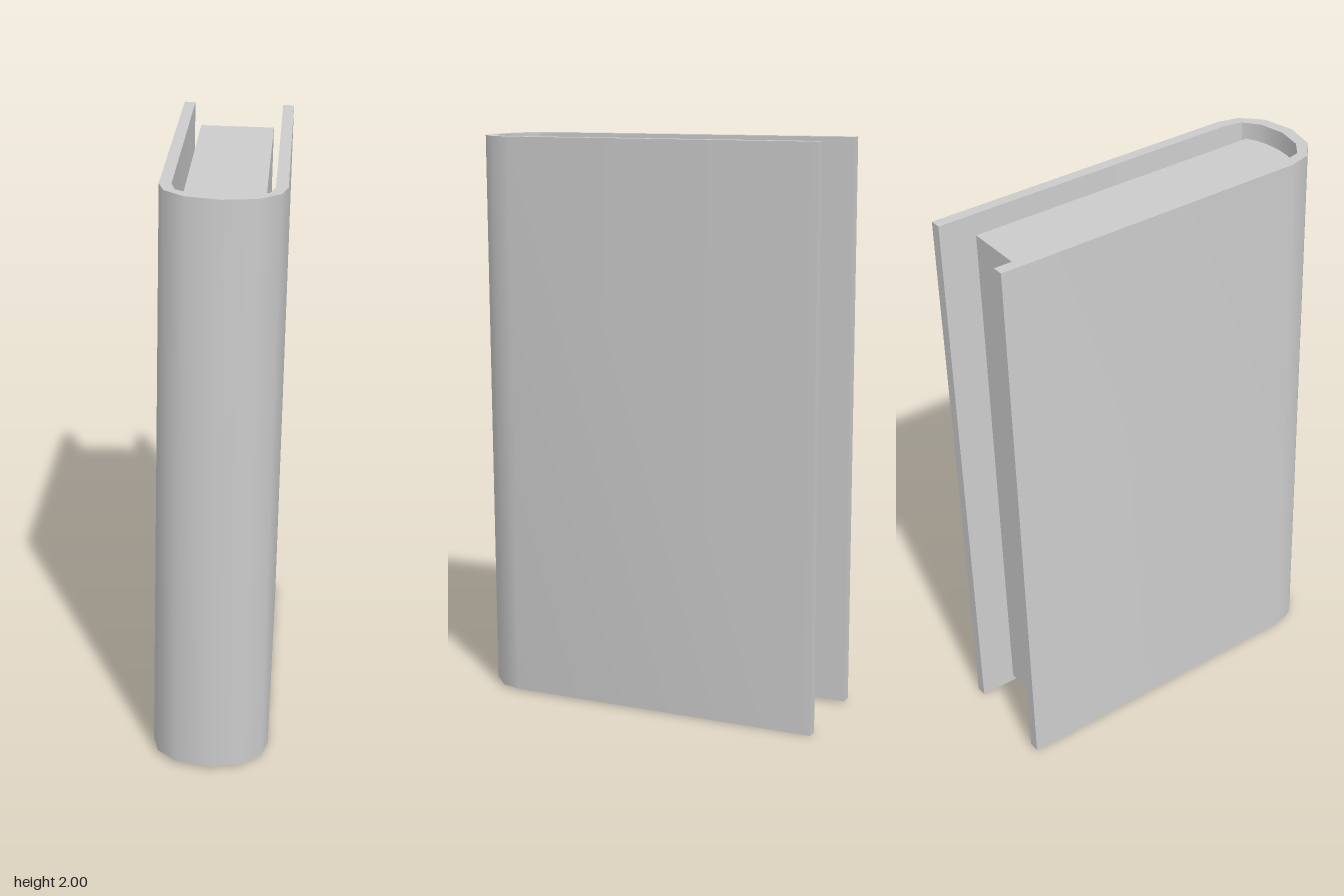
import * as THREE from 'three';
import { toCreasedNormals } from 'three/addons/utils/BufferGeometryUtils.js';

const HEIGHT = 1.983;      // cover height
const RECESS = 0.057;      // pages sit inside the cover at both ends

// Mirror a right-hand run of [x, z] points that ends on the centre line
const mirror = (half) => [...half, ...half.slice(0, -1).reverse().map(([x, z]) => [-x, z])];

// Upright prism from an [x, z] outline, centred on y = 0
function prism(points, height) {
  const shape = new THREE.Shape(points.map(([x, z]) => new THREE.Vector2(x, -z)));
  const geometry = new THREE.ExtrudeGeometry(shape, { depth: height, bevelEnabled: false });
  geometry.rotateX(-Math.PI / 2).translate(0, -height / 2, 0);
  return toCreasedNormals(geometry, 0.6);
}

export function createModel() {
  const material = new THREE.MeshStandardMaterial({ color: 0xcccccc });
  const book = new THREE.Group();
  book.name = 'book';

  const add = (name, geometry) => {
    const mesh = new THREE.Mesh(geometry, material);
    mesh.name = name;
    book.add(mesh);
  };

  // Cover: two boards joined by a rounded spine, one U-shaped band
  const outer = mirror([[0.198, -0.641], [0.198, 0.478], [0.178, 0.553], [0.112, 0.614], [0, 0.638]]);
  const inner = mirror([[0.159, -0.641], [0.159, 0.476], [0.144, 0.54], [0.09, 0.58], [0, 0.597]]);
  add('cover', prism([...outer, ...inner.reverse()], HEIGHT));

  // Page block: straight fore edge, gently rounded toward the spine
  const pages = mirror([[0.13, -0.528], [0.13, 0.547], [0.095, 0.566], [0.05, 0.577], [0, 0.581]]);
  add('pages', prism(pages, HEIGHT - 2 * RECESS));

  // The book leans slightly to its left and back
  book.rotation.set(-0.006, 0, -0.0225);
  book.position.y = 1;

  const model = new THREE.Group();
  model.name = 'leaningBook';
  model.add(book);
  return model;
}
